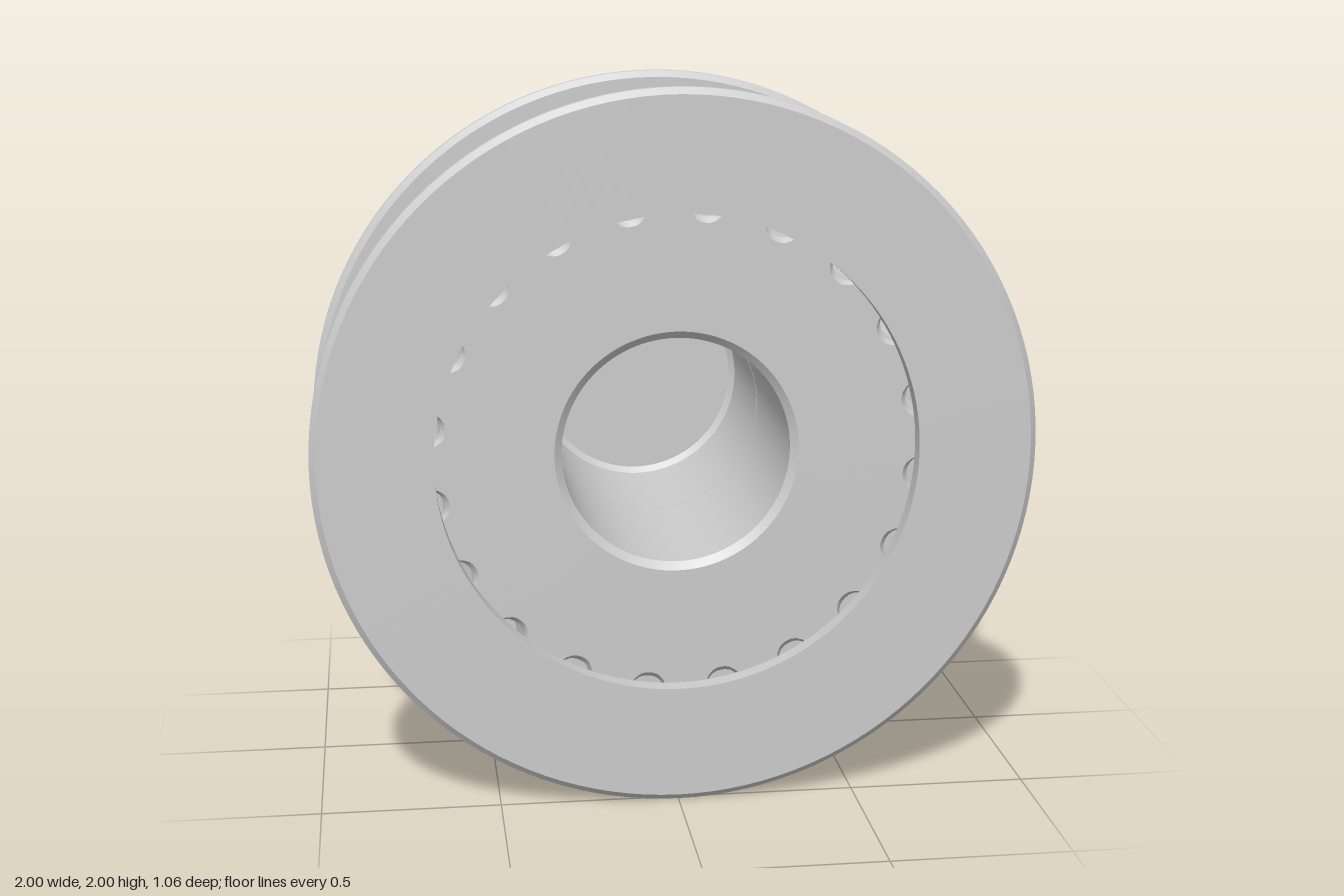
import * as THREE from 'three';
import { toCreasedNormals } from 'three/addons/utils/BufferGeometryUtils.js';

const TEETH = 20, STEPS = 16, CREASE = 0.5;
const PHASE = THREE.MathUtils.degToRad(2.2);
const grey = new THREE.MeshStandardMaterial({ color: 0xcccccc });
const greyBothSides = new THREE.MeshStandardMaterial({ color: 0xcccccc, side: THREE.DoubleSide });
const dark = new THREE.MeshStandardMaterial({ color: 0x48484a });

// Turned part about the z axis; profile points are [radius, z]
function turned(name, profile, material = grey) {
  const points = profile.map(([r, z]) => new THREE.Vector2(r, z));
  const geometry = new THREE.LatheGeometry(points, 128).rotateX(Math.PI / 2);
  const mesh = new THREE.Mesh(toCreasedNormals(geometry, CREASE), material);
  mesh.name = name;
  return mesh;
}

// Flat ring with chamfered rim
function flange(name, z0, z1) {
  return turned(name, [
    [0.667, z0], [0.982, z0], [1, z0 + 0.016], [1, z1 - 0.016],
    [0.982, z1], [0.667, z1], [0.667, z0],
  ]);
}

// Rounded tooth outline: soft crests and valleys
function toothRadius(angle) {
  const c = Math.cos((angle - PHASE) * TEETH);
  return 0.695 + 0.042 * Math.tanh(1.3 * c) / Math.tanh(1.3);
}

// Toothed core with chamfered ends, recessed behind the front flange.
// Each section is [z, inset from the tooth outline, optional plain radius]
function toothedCore() {
  const sections = [
    [-0.026, 0, 0.31], [-0.026, 0.015], [-0.01, 0],
    [0.461, 0], [0.477, 0.015], [0.477, 0, 0.338],
  ];
  const n = TEETH * STEPS, positions = [], index = [];
  sections.forEach(([z, inset, plain], i) => {
    for (let j = 0; j < n; j++) {
      const a = (j / n) * Math.PI * 2;
      const r = plain ?? toothRadius(a) - inset;
      positions.push(r * Math.cos(a), r * Math.sin(a), z);
      if (i === 0) continue;
      const k = (j + 1) % n, lo = (i - 1) * n, hi = i * n;
      index.push(lo + j, lo + k, hi + j, lo + k, hi + k, hi + j);
    }
  });
  const geometry = new THREE.BufferGeometry();
  geometry.setAttribute('position', new THREE.Float32BufferAttribute(positions, 3));
  geometry.setIndex(index);
  const mesh = new THREE.Mesh(toCreasedNormals(geometry, CREASE), grey);
  mesh.name = 'toothedCore';
  return mesh;
}

// Hub with a rounded back edge
function hub() {
  const profile = [];
  for (let i = 0; i <= 6; i++) {
    const a = (i / 6) * Math.PI / 2;
    profile.push([0.675 + 0.044 * Math.sin(a), -0.42 - 0.044 * Math.cos(a)]);
  }
  return turned('hub', [[0.316, -0.464], ...profile, [0.719, -0.105], [0.702, -0.086], [0.316, -0.086]]);
}

// Set screw standing proud of the hub
function setScrew(name) {
  const mesh = new THREE.Mesh(new THREE.CylinderGeometry(0.12, 0.12, 0.22, 48), dark);
  mesh.name = name;
  return mesh;
}

export function createModel() {
  const group = new THREE.Group();
  group.name = 'timingPulley';

  // Thin bore sleeve: flared at the front, closed behind the hub
  const bore = turned('boreSleeve', [
    [0, -0.53], [0.3, -0.53], [0.317, -0.514], [0.317, 0.458], [0.338, 0.477],
  ], greyBothSides);

  const topScrew = setScrew('topSetScrew');
  topScrew.position.set(0, 0.657, -0.245);
  const sideScrew = setScrew('sideSetScrew');
  sideScrew.rotation.z = -Math.PI / 2;
  sideScrew.position.set(0.657, 0, -0.245);

  group.add(
    toothedCore(),
    flange('frontFlange', 0.476, 0.53),
    flange('backFlange', -0.083, -0.027),
    hub(), bore, topScrew, sideScrew,
  );
  group.children.forEach((part) => { part.position.y += 1; });
  return group;
}
